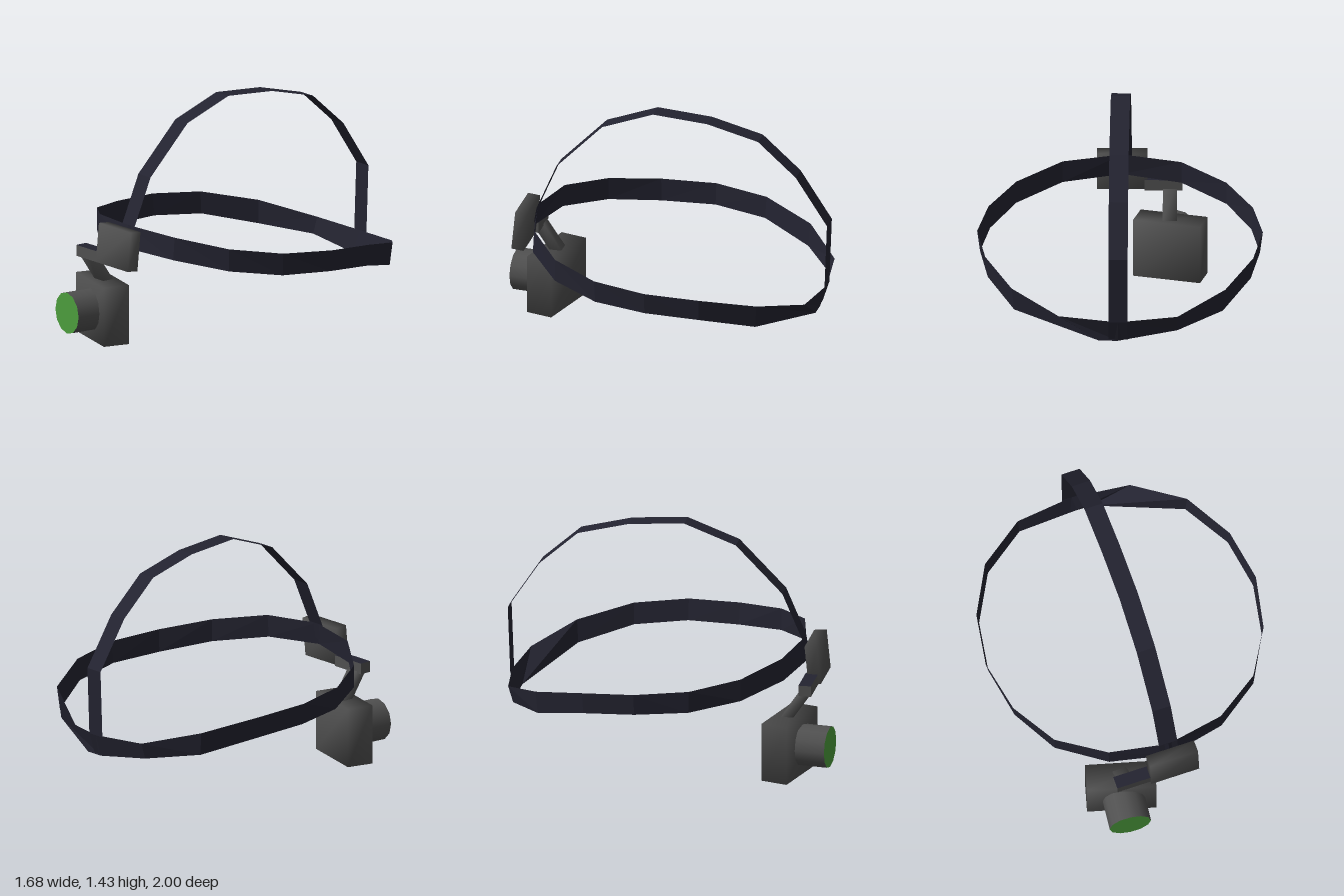
import * as THREE from 'three';
import { mergeVertices } from 'three/addons/utils/BufferGeometryUtils.js';

const strapMat = new THREE.MeshStandardMaterial({ color: 0x232330, side: THREE.DoubleSide });
strapMat.name = 'strap navy';
const bodyMat = new THREE.MeshStandardMaterial({ color: 0x505050 });
bodyMat.name = 'housing grey';
const lensMat = new THREE.MeshStandardMaterial({ color: 0x4c9c3c });
lensMat.name = 'lens green';

// Faceted open ribbon between two edges of [x, y, z] points
function ribbon(name, a, b, closed) {
  const pos = [];
  const n = a.length;
  for (let i = 0; i < (closed ? n : n - 1); i++) {
    const j = (i + 1) % n;
    pos.push(...a[i], ...b[i], ...b[j], ...a[i], ...b[j], ...a[j]);
  }
  const g = new THREE.BufferGeometry();
  g.setAttribute('position', new THREE.Float32BufferAttribute(pos, 3));
  g.computeVertexNormals();
  const mesh = new THREE.Mesh(g, strapMat);
  mesh.name = name;
  return mesh;
}

// Box with shared, softly shaded corners
function softBox(name, size, position, rotation = [0, 0, 0]) {
  let g = new THREE.BoxGeometry(...size);
  g.deleteAttribute('normal');
  g.deleteAttribute('uv');
  g = mergeVertices(g);
  g.computeVertexNormals();
  const mesh = new THREE.Mesh(g, bodyMat);
  mesh.name = name;
  mesh.position.set(...position);
  mesh.rotation.set(...rotation);
  return mesh;
}

export function createModel() {
  const model = new THREE.Group();
  model.name = 'headStrapWithCamera';

  // Head band: half outline from the forehead to the nape, then mirrored
  const top = [[0, 0.75, 0.775], [0.35, 0.733, 0.705], [0.62, 0.685, 0.51], [0.78, 0.645, 0.23],
    [0.842, 0.625, -0.09], [0.79, 0.595, -0.41], [0.63, 0.525, -0.72], [0.35, 0.443, -0.94], [0, 0.425, -0.985]];
  const bottom = [[0, 0.615, 0.797], [0.35, 0.597, 0.715], [0.62, 0.55, 0.51], [0.77, 0.51, 0.225],
    [0.825, 0.495, -0.09], [0.775, 0.465, -0.405], [0.615, 0.387, -0.71], [0.35, 0.345, -0.91], [0, 0.29, -0.945]];
  const mirrored = (pts) => pts.slice(1, -1).reverse().map(([x, y, z]) => [-x, y, z]);
  const topLoop = [...top, ...mirrored(top)];
  const bottomLoop = [...bottom, ...mirrored(bottom)];
  bottomLoop[7] = [0.11, 0.29, -0.945]; // twisted fold at the nape
  model.add(ribbon('headBand', topLoop, bottomLoop, true));

  // Strap over the crown, as [z, y]
  const arc = [[0.787, 0.65], [0.77, 0.75], [0.65, 1.03], [0.37, 1.315], [0.06, 1.43], [-0.27, 1.405],
    [-0.58, 1.325], [-0.81, 1.12], [-1, 0.83], [-0.985, 0.425], [-0.945, 0.3]];
  const edge = (x) => arc.map(([z, y]) => [x, y, z]);
  model.add(ribbon('crownStrap', edge(-0.058), edge(0.056), false));

  // Forehead mount
  model.add(softBox('mountPlate', [0.298, 0.236, 0.075], [0, 0.628, 0.85], [-0.1, 0, 0]));
  const arm = new THREE.Mesh(new THREE.BoxGeometry(0.225, 0.066, 0.075),
    [bodyMat, bodyMat, strapMat, bodyMat, bodyMat, bodyMat]);
  arm.name = 'mountArm';
  arm.position.set(-0.243, 0.54, 0.843);
  model.add(arm);
  model.add(softBox('mountStem', [0.084, 0.23, 0.06], [-0.282, 0.435, 0.785], [0.6, 0, 0]));

  // Camera housing, turned slightly outwards
  model.add(softBox('cameraBody', [0.41, 0.358, 0.163], [-0.285, 0.179, 0.738], [0, -0.265, 0]));

  // Lens barrel with a coloured front face
  const lensGeo = new THREE.CylinderGeometry(0.125, 0.125, 0.18, 12);
  lensGeo.rotateX(Math.PI / 2);
  const lens = new THREE.Mesh(lensGeo, [bodyMat, lensMat, bodyMat]);
  lens.name = 'lens';
  lens.position.set(-0.302, 0.184, 0.897);
  lens.rotation.y = -0.1;
  model.add(lens);

  return model;
}
